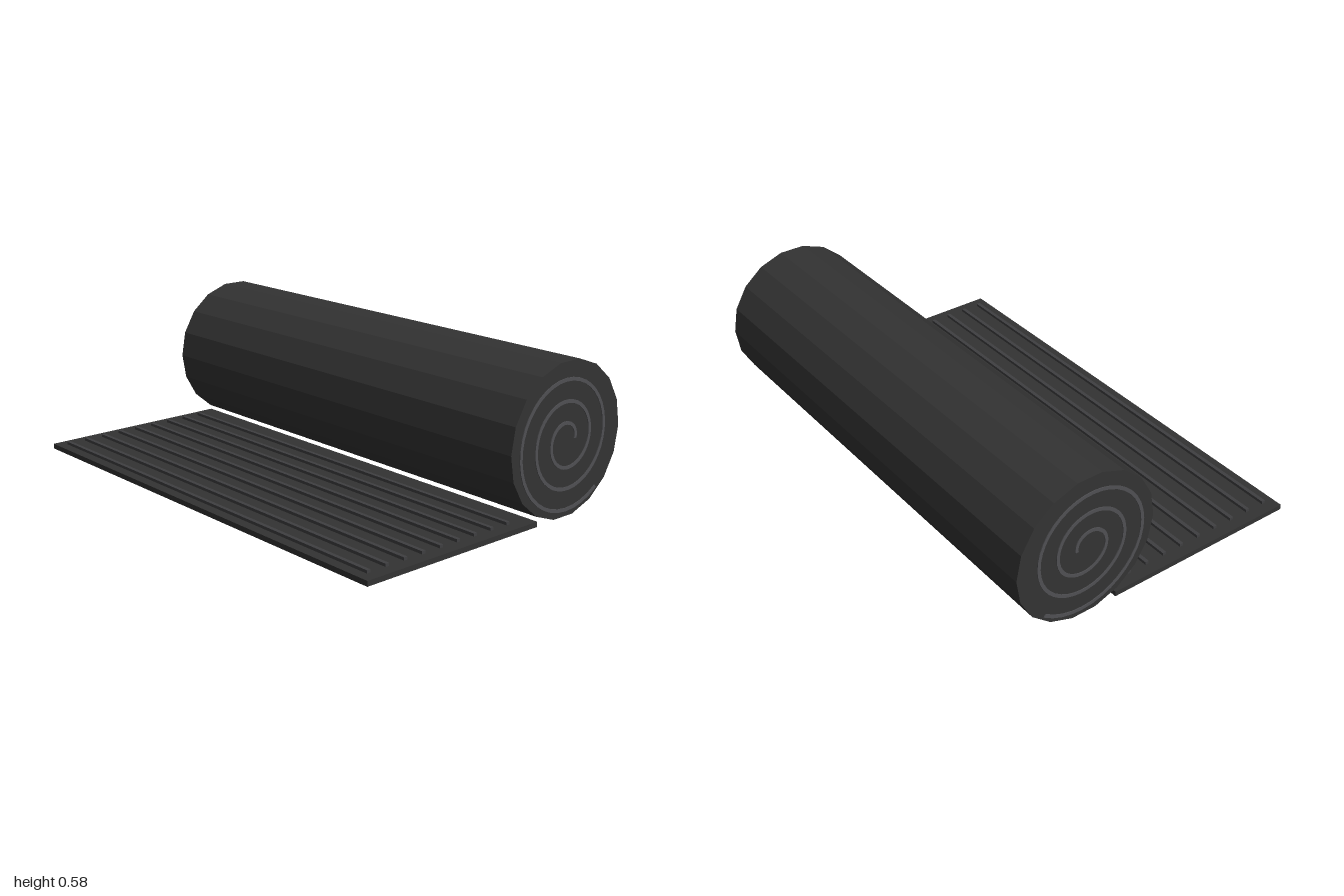
import * as THREE from 'three';

const LENGTH = 1.9, RADIUS = 0.29, ROLL_Z = -0.331;

// Flat spiral ribbon in the XY plane
function spiralGeometry(depth) {
  const outer = [], inner = [], steps = 110, turns = 2.86, half = 0.0065;
  for (let i = 0; i <= steps; i++) {
    const t = (i / steps) * turns, a = t * Math.PI * 2, r = 0.043 + 0.079 * t;
    outer.push(new THREE.Vector2((r + half) * Math.cos(a), (r + half) * Math.sin(a)));
    inner.push(new THREE.Vector2((r - half) * Math.cos(a), (r - half) * Math.sin(a)));
  }
  const shape = new THREE.Shape([...outer, ...inner.reverse()]);
  return new THREE.ExtrudeGeometry(shape, { depth, bevelEnabled: false });
}

export function createModel() {
  const rubber = new THREE.MeshStandardMaterial({ name: 'dark rubber', color: 0x333333, flatShading: true });
  const seam = new THREE.MeshStandardMaterial({ name: 'grey seam', color: 0x505053 });
  const rib = new THREE.MeshStandardMaterial({ name: 'rib grey', color: 0x3f3f41 });

  const model = new THREE.Group();
  model.name = 'rolledMat';
  model.rotation.y = THREE.MathUtils.degToRad(5);

  const add = (name, geometry, material, x, y, z) => {
    const mesh = new THREE.Mesh(geometry, material);
    mesh.name = name;
    mesh.position.set(x, y, z);
    model.add(mesh);
    return mesh;
  };

  // Rolled part, with a corner of the 18-gon at the top
  const roll = new THREE.CylinderGeometry(RADIUS, RADIUS, LENGTH, 18);
  roll.rotateZ(Math.PI / 2);
  add('roll', roll, rubber, 0, RADIUS, ROLL_Z);

  // Spiral seams running through to both ends
  const depth = 0.006;
  const spiral = spiralGeometry(depth);
  spiral.translate(0, 0, -depth / 2);
  spiral.rotateY(Math.PI / 2);
  for (const side of [-1, 1]) {
    add(side > 0 ? 'leftSpiral' : 'rightSpiral', spiral, seam, side * LENGTH / 2, RADIUS, ROLL_Z);
  }

  // Unrolled sheet
  add('sheet', new THREE.BoxGeometry(LENGTH, 0.02, 0.806), rubber, 0, 0.01, 0.212);

  // Raised ribs
  const ribGeometry = new THREE.BoxGeometry(1.81, 0.012, 0.015);
  for (let i = 0; i < 9; i++) {
    add('rib', ribGeometry, rib, 0, 0.025, -0.09 + i * 0.0823);
  }

  const group = new THREE.Group();
  group.add(model);
  return group;
}
